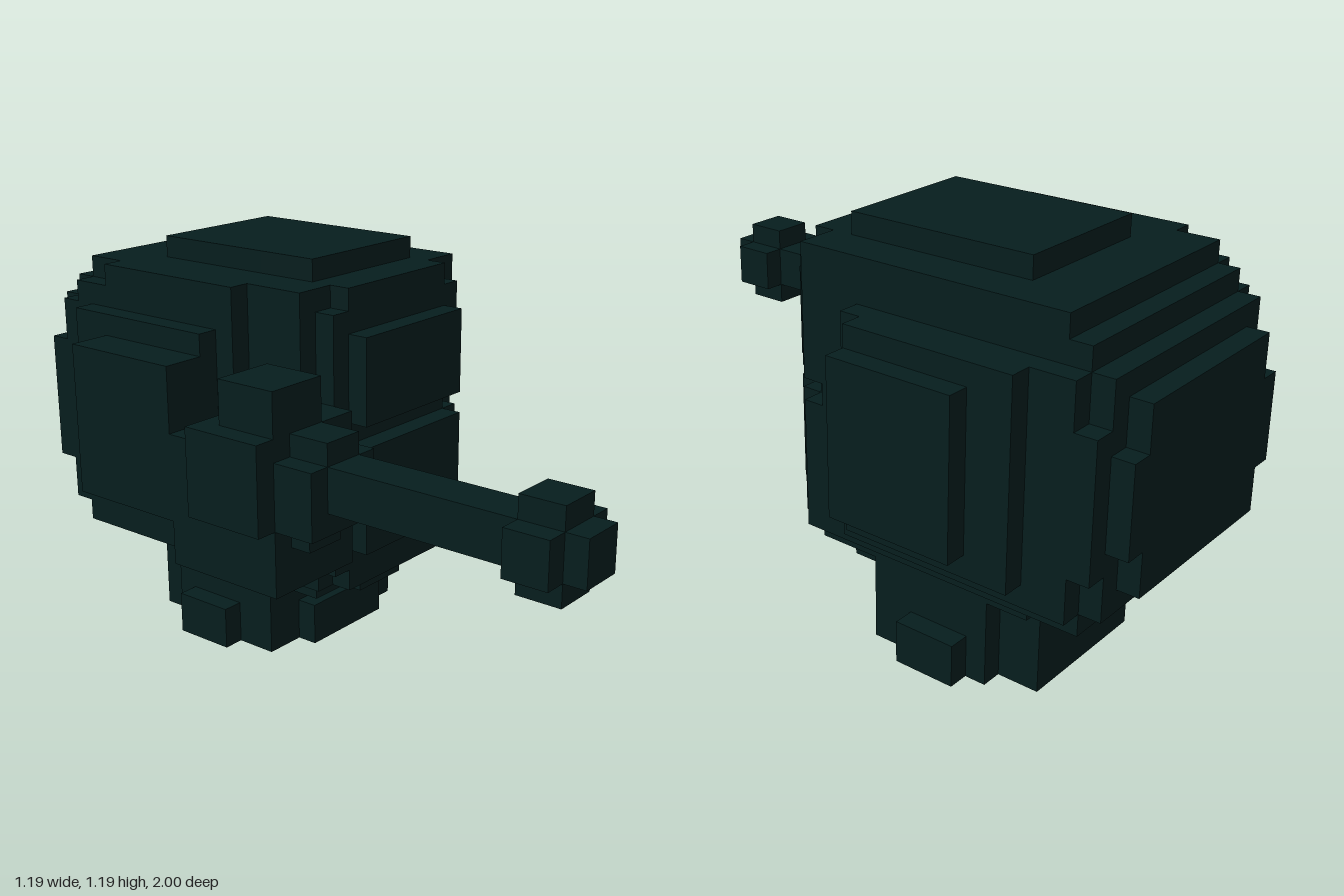
import * as THREE from 'three';
import { mergeGeometries } from 'three/addons/utils/BufferGeometryUtils.js';

// Everything sits on a grid of cubes: x 0..19, y 0..19, z 0..32
const U = 1 / 16;

// Box from grid corners, as [x0, x1, y0, y1, z0, z1]
function block([x0, x1, y0, y1, z0, z1]) {
  const g = new THREE.BoxGeometry((x1 - x0) * U, (y1 - y0) * U, (z1 - z0) * U);
  g.translate(((x0 + x1) / 2 - 9.5) * U, ((y0 + y1) / 2) * U, ((z0 + z1) / 2 - 16) * U);
  return g;
}

// Outlines of the head: x range per layer y, z range per layer y, x range per slice z
const fill = (n, r) => Array(n).fill(r);
const frontX = [[7, 14], [6, 15], [4, 16], [4, 17], [3, 18], ...fill(7, [2, 19]), [3, 18], [4, 16], [4, 16], [7, 14]];
const sideZ = [[5, 16], [5, 17], [2, 17], [1, 18], ...fill(8, [0, 18]), [1, 18], [2, 17], [3, 17], [6, 15]];
const topX = [[5, 16], ...fill(3, [4, 17]), ...fill(2, [3, 18]), ...fill(6, [2, 19]),
  [4, 17], ...fill(3, [5, 16]), [6, 15], [7, 14]];
const within = (v, r) => r !== undefined && v >= r[0] && v < r[1];

// The head fills its outlines, with rounded corners that are fuller in front
function inHead(i, j, k) {
  if (!within(i, frontX[j - 3]) || !within(k, sideZ[j - 3]) || !within(i, topX[k])) return false;
  const term = (v, r) => Math.abs(v / r) ** 2.5;
  const dz = k - 8.5;
  return term(i - 10, 9) + term(j - 10.5, 8.5) + term(dz, dz > 0 ? 11 : 9.5) < 1.02;
}

// Head with a one-cube slit around the front
function inSlitHead(i, j, k) {
  if (!inHead(i, j, k)) return false;
  if (j !== 11 || k < 15) return true;
  return inHead(i - 1, j, k) && inHead(i + 1, j, k) && inHead(i, j, k + 1);
}

// Turn the filled cubes into one box per row
function headRows() {
  const rows = [];
  for (let j = 3; j < 19; j++) {
    for (let k = 0; k < 18; k++) {
      let start = -1;
      for (let i = 0; i <= 20; i++) {
        const full = inSlitHead(i, j, k);
        if (full && start < 0) start = i;
        if (!full && start >= 0) {
          rows.push([start, i, j, j + 1, k, k + 1]);
          start = -1;
        }
      }
    }
  }
  return rows;
}

export function createModel() {
  const model = new THREE.Group();
  const darkTeal = new THREE.MeshStandardMaterial({ color: 0x061e1e });
  darkTeal.name = 'darkTeal';

  const add = (name, boxes) => {
    const mesh = new THREE.Mesh(mergeGeometries(boxes.map(block)), darkTeal);
    mesh.name = name;
    model.add(mesh);
  };

  add('head', headRows());
  add('sidePanel', [[1, 3, 8, 15, 6, 12]]);

  // Stepped neck and foot with small lugs on three sides
  add('neck', [[7, 14, 0, 6, 5, 13], [6, 15, 0, 6, 7, 13]]);
  add('footLugs', [[5, 16, 0, 2, 8, 11], [8, 13, 0, 2, 12, 14]]);

  // Shoulder mount and barrel on the right side
  add('mount', [[1, 6, 6, 12, 12, 18], [1, 4, 12, 15, 15, 18]]);
  add('breech', [[0, 6, 9, 13, 14, 18], [1, 5, 9, 12, 18, 20], [2, 4, 9, 13, 18, 20], [2, 4, 8, 12, 18, 19]]);
  add('barrel', [[2, 4, 10, 12, 18, 32]]);
  add('muzzle', [[1, 5, 10, 12, 29, 31], [2, 4, 9, 13, 29, 31]]);

  return model;
}
